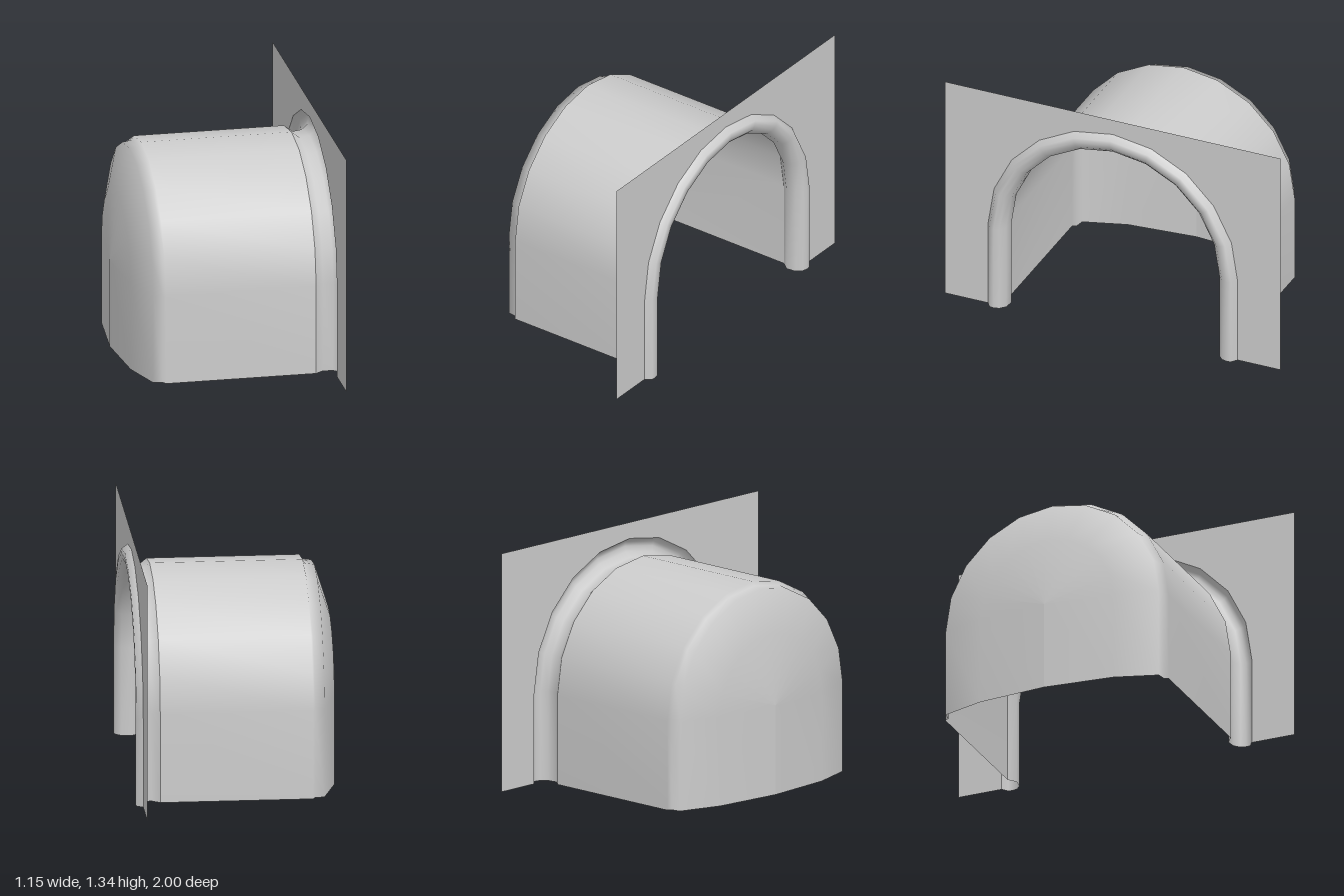
import * as THREE from 'three';

const SPRING = 0.5; // height where the straight sides turn into the arch
const STEPS = 10;
const PANEL_X = 0.535;
const RIM_R = 0.745;

const material = new THREE.MeshStandardMaterial({ color: 0xcccccc, side: THREE.DoubleSide });

// Arch outline of radius r as [across, up], from one foot over the top to the other
function arch(r) {
  const pts = [[r, 0]];
  for (let i = 0; i <= STEPS; i++) {
    const a = (Math.PI * i) / STEPS;
    pts.push([r * Math.cos(a), SPRING + r * Math.sin(a)]);
  }
  pts.push([-r, 0]);
  return pts;
}

// Skin through arches placed along x; the profile lists [x, radius]
function archLoft(name, profile) {
  const positions = [];
  const index = [];
  const n = STEPS + 3;
  profile.forEach(([x, r], i) => {
    for (const [z, y] of arch(r)) positions.push(x, y, z);
    if (i === 0) return;
    for (let j = 0; j < n - 1; j++) {
      const a = (i - 1) * n + j;
      const b = i * n + j;
      index.push(a, b, a + 1, b, b + 1, a + 1);
    }
  });
  const geometry = new THREE.BufferGeometry();
  geometry.setAttribute('position', new THREE.Float32BufferAttribute(positions, 3));
  geometry.setIndex(index);
  geometry.computeVertexNormals();
  const mesh = new THREE.Mesh(geometry, material);
  mesh.name = name;
  return mesh;
}

// Thin rectangular wall with an arched opening
function frontPanel() {
  const shape = new THREE.Shape();
  shape.moveTo(1, 0);
  shape.lineTo(1, 1.335);
  shape.lineTo(-1, 1.335);
  shape.lineTo(-1, 0);
  for (const [u, v] of arch(RIM_R).reverse()) shape.lineTo(u, v);
  const geometry = new THREE.ShapeGeometry(shape);
  geometry.rotateY(Math.PI / 2);
  geometry.translate(PANEL_X, 0, 0);
  const mesh = new THREE.Mesh(geometry, material);
  mesh.name = 'frontPanel';
  return mesh;
}

export function createModel() {
  const group = new THREE.Group();
  group.name = 'archedAlcove';

  // Domed back wall, stepped shoulder and straight vault
  group.add(archLoft('vault', [
    [-0.575, 0], [-0.54, 0.395], [-0.465, 0.634],
    [-0.412, 0.642], [-0.4, 0.665], [0.435, 0.665],
  ]));

  // Groove and rounded lip around the opening
  group.add(archLoft('openingRim', [
    [0.435, 0.665], [0.48, 0.63], [PANEL_X, 0.637],
    [0.565, 0.665], [0.572, 0.695], [0.57, 0.72], [PANEL_X, RIM_R],
  ]));

  group.add(frontPanel());
  return group;
}
